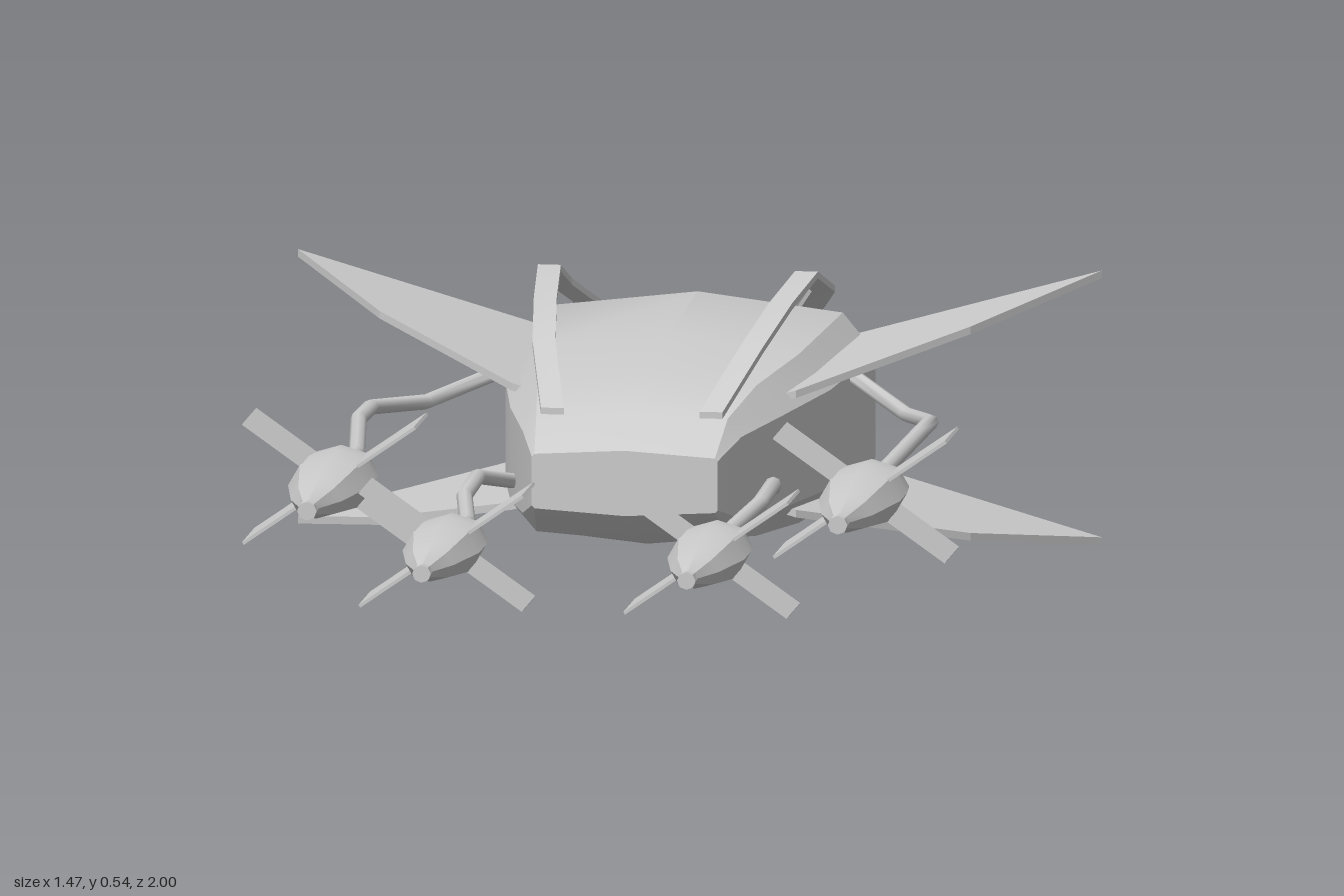
import * as THREE from 'three';
import { toCreasedNormals } from 'three/addons/utils/BufferGeometryUtils.js';

const grey = new THREE.MeshStandardMaterial({ color: 0xcccccc });

// Closed skin over rings running back to front, each counterclockwise seen from +z
function loft(rings, crease) {
  const pos = [];
  const tri = (...corners) => corners.forEach((p) => pos.push(...p));
  const n = rings[0].length, last = rings[rings.length - 1];
  for (let i = 0; i < rings.length - 1; i++) {
    for (let j = 0; j < n; j++) {
      const k = (j + 1) % n;
      const a = rings[i][j], b = rings[i][k], c = rings[i + 1][k], d = rings[i + 1][j];
      tri(a, b, c);
      tri(a, c, d);
    }
  }
  for (let j = 1; j < n - 1; j++) {
    tri(rings[0][0], rings[0][j + 1], rings[0][j]);
    tri(last[0], last[j], last[j + 1]);
  }
  const g = new THREE.BufferGeometry();
  g.setAttribute('position', new THREE.Float32BufferAttribute(pos, 3));
  return toCreasedNormals(g, crease);
}

// Elliptical ring of n points facing z
function ellipse(x, y, z, rx, ry, n) {
  return Array.from({ length: n }, (_, i) => {
    const a = (i / n) * Math.PI * 2;
    return [x + rx * Math.cos(a), y + ry * Math.sin(a), z];
  });
}

function add(parent, name, geometry) {
  const mesh = new THREE.Mesh(geometry, grey);
  mesh.name = name;
  parent.add(mesh);
  return mesh;
}

// Hull: z, half width, centre height, half height, shoulder x, shoulder y, side y
function hullGeometry() {
  const sections = [
    [-1.0, 0.09, 0.258, 0.048, 0.08, 0.044, 0.03],
    [-0.87, 0.205, 0.257, 0.132, 0.17, 0.115, 0.065],
    [-0.73, 0.325, 0.256, 0.2, 0.265, 0.168, 0.095],
    [-0.37, 0.297, 0.256, 0.186, 0.24, 0.155, 0.09],
    [-0.12, 0.25, 0.258, 0.158, 0.2, 0.138, 0.085],
    [0.06, 0.2, 0.258, 0.12, 0.175, 0.108, 0.075],
    [0.15, 0.17, 0.258, 0.06, 0.165, 0.05, 0.045],
  ];
  return loft(sections.map(([z, hw, yc, h, sx, sy, ey]) => [
    [hw, -ey], [hw, ey], [sx, sy], [0, h], [-sx, sy],
    [-hw, ey], [-hw, -ey], [-sx, -sy], [0, -h], [sx, -sy],
  ].map(([x, y]) => [x, yc + y, z])), 0.5);
}

// Swept fin: plan outline tilted so that its height follows x
function finGeometry(side, rootY, slope) {
  const outline = [[0.2, -0.755], [0.735, -0.755], [0.725, -0.74], [0.54, -0.455], [0.26, -0.2], [0.2, -0.2]];
  const shape = new THREE.Shape(outline.map(([x, z]) => new THREE.Vector2(side * x, z)));
  const g = new THREE.ExtrudeGeometry(shape, { depth: 0.014, bevelEnabled: false });
  g.rotateX(Math.PI / 2);
  const p = g.attributes.position;
  for (let i = 0; i < p.count; i++) {
    p.setY(i, p.getY(i) + 0.007 + rootY + slope * (Math.abs(p.getX(i)) - 0.2));
  }
  g.computeVertexNormals();
  return g;
}

// Flat bowed rail over the hull
function railGeometry(side) {
  const path = [
    [0.19, 0.41, -0.78], [0.24, 0.48, -0.66], [0.235, 0.535, -0.49],
    [0.215, 0.508, -0.31], [0.19, 0.46, -0.13], [0.145, 0.372, 0.065],
  ];
  const w = 0.021, t = 0.006;
  return loft(path.map(([x, y, z]) => [[w, -t], [w, t], [-w, t], [-w, -t]]
    .map(([dx, dy]) => [side * x + dx, y + dy, z])), 0.4);
}

function armGeometry(side, path) {
  return loft(path.map(([x, y, z]) => ellipse(side * x, y, z, 0.015, 0.014, 8)), 0.9);
}

// Spindle-shaped pod with four crossed blades, its rear end at z = 0
function makePod(name, length, size, bladeZ, bladeLength) {
  const pod = new THREE.Group();
  pod.name = name;
  const profile = [[0, 0.02], [0.17, 0.068], [0.3, 0.074], [0.48, 0.074],
    [0.78, 0.046], [0.95, 0.015], [0.955, 0.018], [1, 0.018]];
  add(pod, 'podBody', loft(profile.map(([t, r]) => {
    const k = t > 0.9 ? 0.95 : 0.72;
    return ellipse(0, 0, t * length, r * size, r * size * k, 8);
  }), 0.6));
  const reach = 0.192 * size, tilt = Math.atan2(0.11, 0.157);
  for (const a of [tilt, -tilt]) {
    const blade = add(pod, 'podBlades', new THREE.BoxGeometry(reach * 2, 0.006, bladeLength));
    blade.position.z = bladeZ;
    blade.rotation.z = a;
  }
  return pod;
}

export function createModel() {
  const model = new THREE.Group();
  model.name = 'spacecraft';
  add(model, 'hull', hullGeometry());

  const outerArm = [[0.27, 0.35, -0.58], [0.32, 0.34, -0.53], [0.44, 0.308, -0.35], [0.512, 0.33, -0.16],
    [0.512, 0.333, -0.02], [0.485, 0.307, 0.18], [0.485, 0.305, 0.3]];
  const innerArm = [[0.2, 0.21, -0.12], [0.24, 0.22, -0.06], [0.27, 0.262, 0.14],
    [0.27, 0.255, 0.3], [0.242, 0.235, 0.45], [0.242, 0.235, 0.57]];

  for (const side of [1, -1]) {
    const label = side > 0 ? 'left' : 'right';
    add(model, label + 'UpperFin', finGeometry(side, 0.35, 0.285));
    add(model, label + 'LowerFin', finGeometry(side, 0.165, -0.285));
    add(model, label + 'Rail', railGeometry(side));
    add(model, label + 'OuterArm', armGeometry(side, outerArm));
    add(model, label + 'InnerArm', armGeometry(side, innerArm));

    const outer = makePod(label + 'OuterPod', 0.5, 1, 0.16, 0.15);
    outer.position.set(side * 0.485, 0.305, 0.28);
    const inner = makePod(label + 'InnerPod', 0.45, 0.95, 0.145, 0.14);
    inner.position.set(side * 0.242, 0.235, 0.55);
    model.add(outer, inner);
  }
  return model;
}
